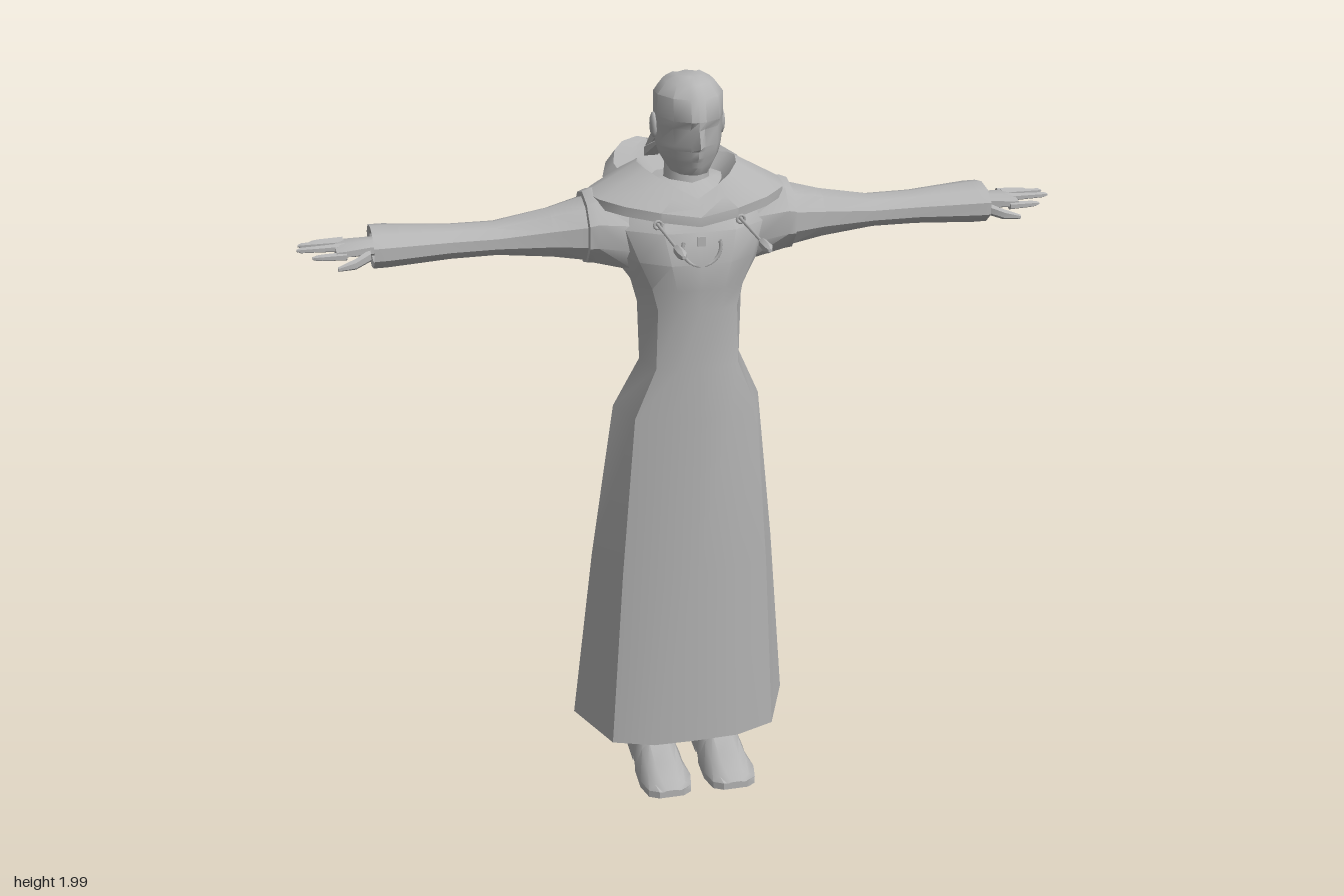
import * as THREE from 'three';
import { toCreasedNormals } from 'three/addons/utils/BufferGeometryUtils.js';

const cloth = new THREE.MeshStandardMaterial({ color: 0xb4b4b4, side: THREE.DoubleSide });
cloth.name = 'plain grey';

// Skin over closed rings of points; faces are turned outward by signed volume.
function loft(rings, { start = true, end = true, crease = 0.6 } = {}) {
  const n = rings[0].length;
  const pos = rings.flat();
  const faces = [];
  for (let r = 0; r < rings.length - 1; r++) {
    for (let i = 0; i < n; i++) {
      const a = r * n + i, b = r * n + (i + 1) % n;
      faces.push([a, b, b + n], [a, b + n, a + n]);
    }
  }
  const cap = (r, flip) => {
    const mid = [0, 1, 2].map(k => rings[r].reduce((s, p) => s + p[k], 0) / n);
    const c = pos.push(mid) - 1;
    for (let i = 0; i < n; i++) {
      const a = r * n + i, b = r * n + (i + 1) % n;
      faces.push(flip ? [c, b, a] : [c, a, b]);
    }
  };
  if (start) cap(0, true);
  if (end) cap(rings.length - 1, false);
  const centre = new THREE.Vector3();
  const v = pos.map(p => new THREE.Vector3(...p));
  v.forEach(p => centre.addScaledVector(p, 1 / v.length));
  let volume = 0;
  for (const f of faces) {
    const [a, b, c] = f.map(i => v[i].clone().sub(centre));
    volume += a.dot(b.cross(c));
  }
  if (volume < 0) faces.forEach(f => f.reverse());
  const g = new THREE.BufferGeometry();
  g.setAttribute('position', new THREE.Float32BufferAttribute(pos.flat(), 3));
  g.setIndex(faces.flat());
  return toCreasedNormals(g, crease);
}

// Half outline from front middle to back middle, completed by mirroring x.
const mirrorRing = half => [...half, ...half.slice(1, -1).reverse().map(([x, y, z]) => [-x, y, z])];

// Robe section: flat front panel, angled sides, broad back; the hem rises to the back.
function robeRing([y, front, cornerX, cornerZ, sideX, sideZ, back]) {
  const tilt = y < 0.2 ? 0.09 : 0;
  return mirrorRing([
    [0, front], [cornerX * .52, front - .003], [cornerX, cornerZ], [sideX, sideZ], [sideX * .74, back + .018], [0, back],
  ].map(([x, z]) => [x, y + tilt * (.3 - z), z]));
}

// Head section: nose ridge, cheek, temple, nape.
const headRing = ([y, front, ridge, w, back]) => mirrorRing([
  [0, y, front], [w * .22, y, front - ridge], [w * .68, y, front - ridge - w * .3], [w, y, .205],
  [w, y, .16], [w * .73, y, back + .018], [0, y, back],
]);

// Mantle section: an oval whose height runs from front to shoulder to back.
function mantleRing([frontY, frontZ, shoulderY, shoulderX, backY, backZ]) {
  return mirrorRing(Array.from({ length: 9 }, (_, i) => {
    const c = Math.cos(i / 8 * Math.PI), s = Math.sin(i / 8 * Math.PI);
    const [endY, endZ] = c > 0 ? [frontY, frontZ] : [backY, backZ];
    return [shoulderX * s, endY + (shoulderY - endY) * s, .16 + (endZ - .16) * Math.abs(c)];
  }));
}

// Points around a unit circle, placed by fn(cos, sin).
function oval(n, fn) {
  return Array.from({ length: n }, (_, i) => {
    const a = (i + 0.5) / n * Math.PI * 2;
    return fn(Math.cos(a), Math.sin(a));
  });
}

export function createModel() {
  const model = new THREE.Group();
  model.name = 'robedFigure';
  const add = (name, geometry, x = 0, y = 0, z = 0) => {
    const m = new THREE.Mesh(geometry, cloth);
    m.name = name;
    m.position.set(x, y, z);
    model.add(m);
    return m;
  };

  // Long robe, open at the hem
  add('robe', loft([
    [.12, .30, .23, .26, .305, .09, -.145],
    [.65, .31, .20, .275, .255, .13, -.03],
    [1.10, .315, .165, .28, .20, .17, .045],
    [1.24, .32, .11, .29, .135, .20, .108],
    [1.40, .32, .105, .29, .14, .20, .142],
    [1.46, .328, .12, .29, .155, .19, .122],
    [1.53, .333, .15, .28, .205, .18, .085],
    [1.61, .315, .18, .255, .23, .16, .055],
    [1.68, .265, .15, .22, .20, .16, .06],
    [1.72, .22, .07, .19, .09, .16, .09],
  ].map(robeRing), { start: false }));

  // Shoulder mantle with a raised V collar
  add('mantle', loft([
    [1.625, .318, 1.665, .262, 1.64, .04],
    [1.65, .32, 1.69, .262, 1.68, .025],
    [1.67, .305, 1.735, .18, 1.72, .03],
    [1.69, .288, 1.762, .13, 1.745, .07],
    [1.67, .25, 1.70, .08, 1.70, .10],
  ].map(mantleRing), { start: false, end: false }));

  // Lowered hood lying on the back: z, half width, top, bottom
  add('hood', loft([
    [.10, .19, 1.72, 1.63], [.05, .195, 1.73, 1.64], [-.05, .165, 1.735, 1.652],
    [-.13, .12, 1.735, 1.668], [-.19, .055, 1.73, 1.685], [-.205, .025, 1.72, 1.70],
  ].map(([z, w, t, b]) => mirrorRing([
    [0, t - (t - b) * .45, z], [w * .6, t - (t - b) * .3, z], [w * .85, t, z],
    [w, (t + b) / 2 + .01, z], [w * .7, b + .012, z], [0, b, z],
  ]))));

  // Trailing hood tail: z, y, half width, half height
  add('hoodTail', loft([
    [.08, 1.835, .02, .012], [.04, 1.82, .04, .022], [-.08, 1.75, .042, .026], [-.2, 1.675, .032, .02],
    [-.36, 1.545, .02, .012], [-.565, 1.375, .002, .003],
  ].map(([z, y, w, h]) => oval(6, (c, s) => [w * c, y + h * s, z]))));

  // Head from chin through mouth, nose, eyes and brow to the crown: y, front, ridge, half width, back
  add('head', loft([
    [1.745, .265, .003, .05, .12],
    [1.767, .28, .005, .062, .112],
    [1.783, .283, .006, .072, .107],
    [1.795, .293, .009, .076, .103],
    [1.812, .292, .007, .08, .098],
    [1.825, .316, .025, .082, .095],
    [1.868, .30, .018, .084, .087],
    [1.89, .301, .003, .086, .084],
    [1.945, .29, .004, .085, .088],
    [1.975, .26, .004, .062, .113],
    [1.99, .23, .002, .034, .15],
  ].map(headRing), { crease: 0.75 }));
  add('neck', new THREE.CylinderGeometry(.056, .066, .14, 12), 0, 1.715, .165);

  // Pendant and clasp on the chest
  const crescent = add('pendant', new THREE.TorusGeometry(.05, .005, 6, 16, Math.PI * 1.2), 0, 1.575, .328);
  crescent.rotation.z = Math.PI * 0.9;
  add('clasp', new THREE.BoxGeometry(.02, .025, .008), 0, 1.59, .325);

  for (const s of [1, -1]) {
    const side = s > 0 ? 'left' : 'right';

    // Sleeve with an armhole step and a flared, hollow cuff: x, y, half height, half depth
    add(side + 'Sleeve', loft([
      [.16, 1.585, .11, .10], [.25, 1.60, .10, .108], [.272, 1.597, .094, .104], [.274, 1.594, .085, .09],
      [.36, 1.59, .065, .07], [.5, 1.586, .043, .06], [.62, 1.586, .044, .06], [.78, 1.588, .053, .082],
      [.815, 1.588, .053, .083], [.81, 1.588, .042, .07], [.76, 1.588, .03, .055],
    ].map(([x, y, h, d]) => oval(10, (c, n) => [s * x, y + h * n, .157 + d * c]))));

    // Hand
    add(side + 'Palm', loft([
      [.75, .022, .035], [.82, .022, .042], [.88, .019, .058], [.905, .014, .056],
    ].map(([x, h, d]) => oval(8, (c, n) => [s * x, 1.588 + h * n, .155 + d * c]))));
    [[1.592, .965], [1.597, .995], [1.595, 1.0], [1.582, .965]].forEach(([y, tip], i) =>
      add(side + 'Finger' + (i + 1), loft([[.88, .014], [.94, .011], [tip - .01, .009], [tip, .004]]
        .map(([x, r]) => oval(6, (c, n) => [s * x, y + r * n * .8, .109 + i * .031 + r * c])))));
    add(side + 'Thumb', loft([[.82, 1.575, .19, .016], [.86, 1.563, .215, .014], [.905, 1.555, .222, .006]]
      .map(([x, y, z, r]) => oval(6, (c, n) => [s * x, y + r * n, z + r * c]))));

    // Ear
    add(side + 'Ear', new THREE.SphereGeometry(1, 8, 6).scale(.011, .034, .02), s * .088, 1.86, .175);

    // Folds joining the hood to its tail
    add(side + 'HoodFold', loft([[.1, 1.79, .055, .01], [.03, 1.75, .06, .022], [-.06, 1.705, .035, .012]]
      .map(([z, y, x, r]) => oval(6, (c, n) => [s * x + r * c, y + r * n, z]))));

    // Cord with a weighted tip and its eyelet
    add(side + 'Cord', new THREE.CylinderGeometry(.004, .004, .22, 6).rotateX(Math.PI / 2), s * .108, 1.635, .39);
    add(side + 'CordTip', loft([[.485, .004], [.505, .012], [.55, .013], [.57, .005]]
      .map(([z, r]) => oval(6, (c, n) => [s * .108 + r * c, 1.635 + r * n, z]))));
    add(side + 'Eyelet', new THREE.TorusGeometry(.01, .004, 6, 10), s * .108, 1.635, .305);

    // Leg and boot: z, half width, top, sole
    add(side + 'Leg', new THREE.CylinderGeometry(.075, .045, .8, 10), s * .09, .5, .115);
    add(side + 'BootCuff', new THREE.CylinderGeometry(.058, .052, .04, 10), s * .09, .25, .11);
    add(side + 'Boot', loft([
      [.05, .045, .13, 0], [.07, .055, .15, 0], [.165, .06, .14, 0], [.17, .06, .135, .015],
      [.21, .065, .105, .015], [.23, .068, .09, 0], [.31, .072, .065, 0], [.365, .06, .045, 0], [.387, .035, .025, .004],
    ].map(([z, w, t, b]) => [
      [-w, b], [w, b], [w, b + .02], [w * .7, t * .8 + b * .2], [w * .4, t], [-w * .4, t], [-w * .7, t * .8 + b * .2], [-w, b + .02],
    ].map(([x, y]) => [s * .092 + x, y, z]))));
  }
  return model;
}
